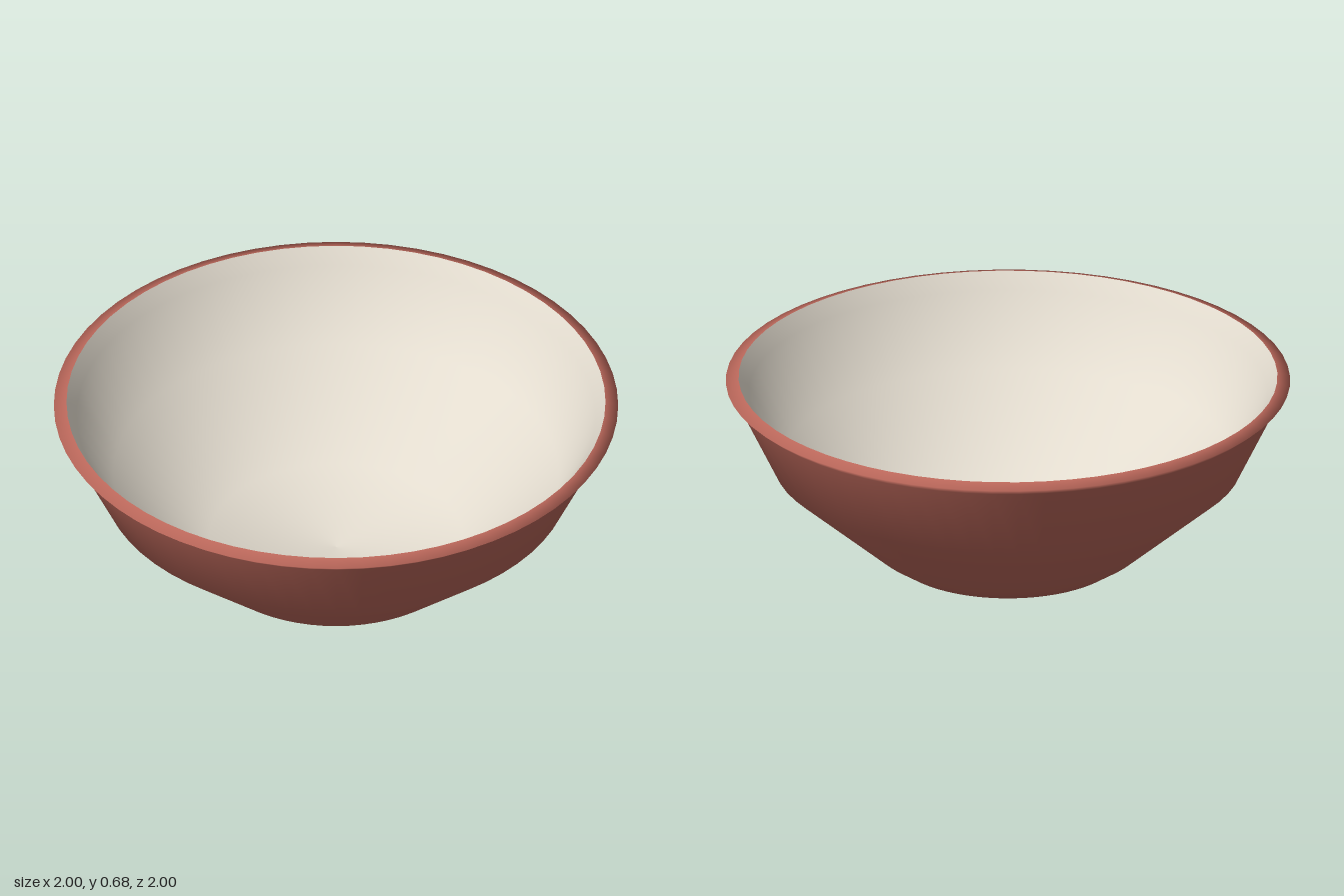
import * as THREE from 'three';

const clay = new THREE.MeshStandardMaterial({ color: 0xbc685b });
clay.name = 'terracotta';
const glaze = new THREE.MeshStandardMaterial({ color: 0xe4ddd0 });
glaze.name = 'cream glaze';

// Turn a radius/height profile around the y axis
function turned(name, profile, material) {
  const points = profile.map(([r, y]) => new THREE.Vector2(r, y));
  const mesh = new THREE.Mesh(new THREE.LatheGeometry(points, 64), material);
  mesh.name = name;
  return mesh;
}

export function createModel() {
  const bowl = new THREE.Group();
  bowl.name = 'bowl';

  // Base, flared wall and lip, from the underside centre up to the inner rim
  bowl.add(turned('outerShell', [
    [0, 0], [0.41, 0], [0.485, 0.05], [0.83, 0.35], [0.97, 0.64], [1, 0.665], [0.955, 0.68],
  ], clay));

  // Glazed inside, from the rim down to the centre of the floor
  bowl.add(turned('innerGlaze', [
    [0.955, 0.68], [0.92, 0.62], [0.79, 0.37], [0.45, 0.09], [0, 0.05],
  ], glaze));

  return bowl;
}
